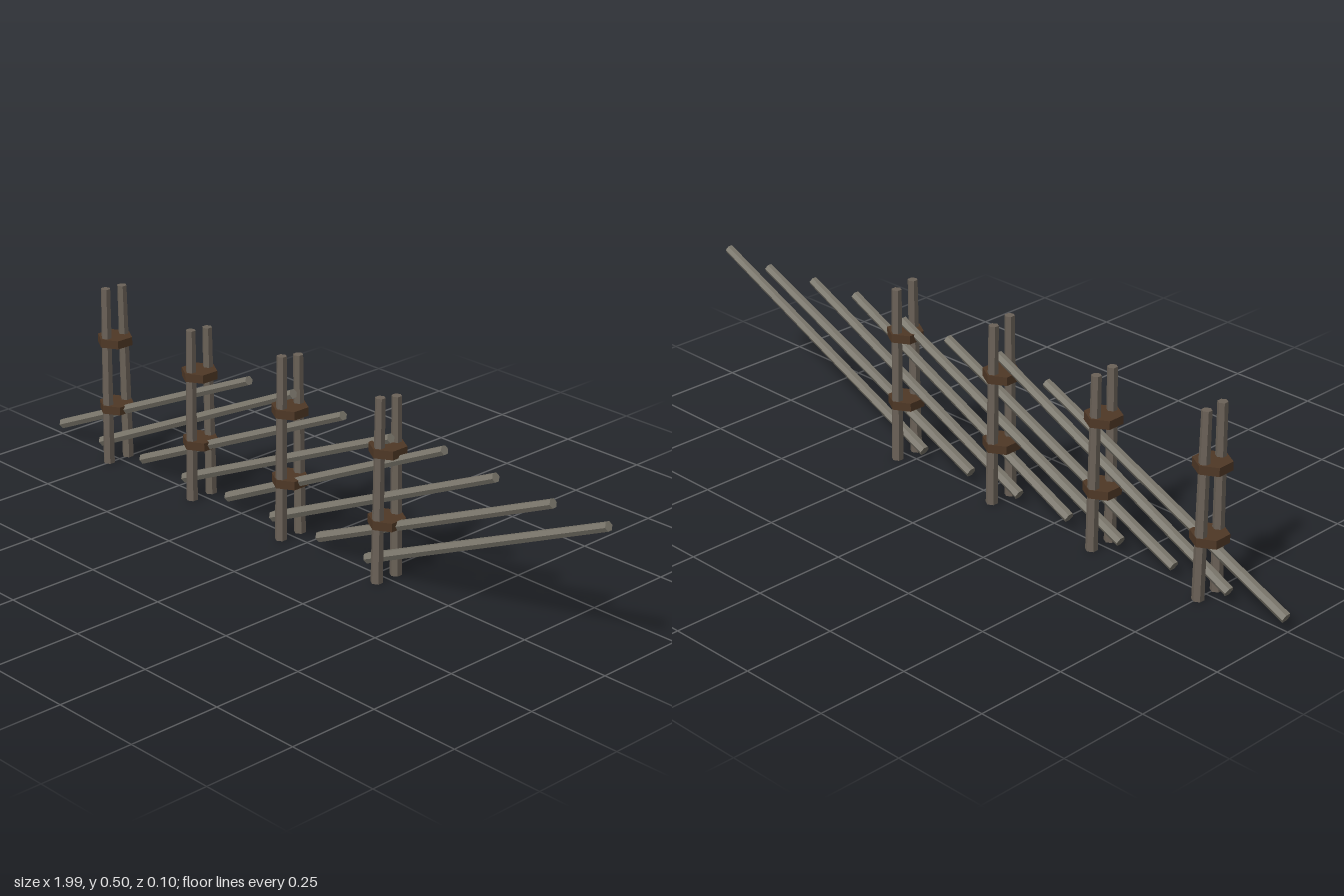
import * as THREE from 'three';

const material = (color) => new THREE.MeshStandardMaterial({ color, flatShading: true });

// Six-sided tapered pole running from a to b
function pole(name, a, b, rBottom, rTop, mat) {
  const dir = b.clone().sub(a);
  const mesh = new THREE.Mesh(new THREE.CylinderGeometry(rTop, rBottom, dir.length(), 6), mat);
  mesh.name = name;
  mesh.position.copy(a).add(b).multiplyScalar(0.5);
  mesh.quaternion.setFromUnitVectors(new THREE.Vector3(0, 1, 0), dir.normalize());
  return mesh;
}

export function createModel() {
  const fence = new THREE.Group();
  fence.name = 'poleFence';
  const postMat = material(0x6b6258);
  const railMat = material(0x7a766b);
  const bandMat = material(0x4f3826);
  const V = (x, y, z) => new THREE.Vector3(x, y, z);

  // Paired uprights, leaning slightly inward, tied by two bands
  const pairs = [
    [-0.753, 0.5, 0.497],
    [-0.408, 0.475, 0.47],
    [-0.062, 0.5, 0.49],
    [0.287, 0.49, 0.48],
  ];
  for (const [x, frontHeight, backHeight] of pairs) {
    const pair = new THREE.Group();
    pair.name = 'postPair';
    pair.add(pole('frontPost', V(x, 0, 0.034), V(x, frontHeight, 0.0285), 0.016, 0.0132, postMat));
    pair.add(pole('backPost', V(x, 0, -0.033), V(x, backHeight, -0.0275), 0.016, 0.0132, postMat));
    for (const y of [0.158, 0.349]) {
      const band = new THREE.Mesh(new THREE.CylinderGeometry(0.049, 0.049, 0.023, 6), bandMat);
      band.name = 'band';
      band.position.set(x, y, 0.001);
      pair.add(band);
    }
    fence.add(pair);
  }

  // Slanted rails threaded between the uprights
  const endHeights = [0.38, 0.396, 0.386, 0.38, 0.4, 0.386, 0.374, 0.376];
  endHeights.forEach((y, i) => {
    const x = -0.992 + i * 0.1733;
    const z = i % 2 ? 0.003 : -0.004;
    fence.add(pole('slantedRail', V(x, 0.033, 0.002), V(x + 0.771, y, z), 0.0145, 0.0125, railMat));
  });
  return fence;
}
